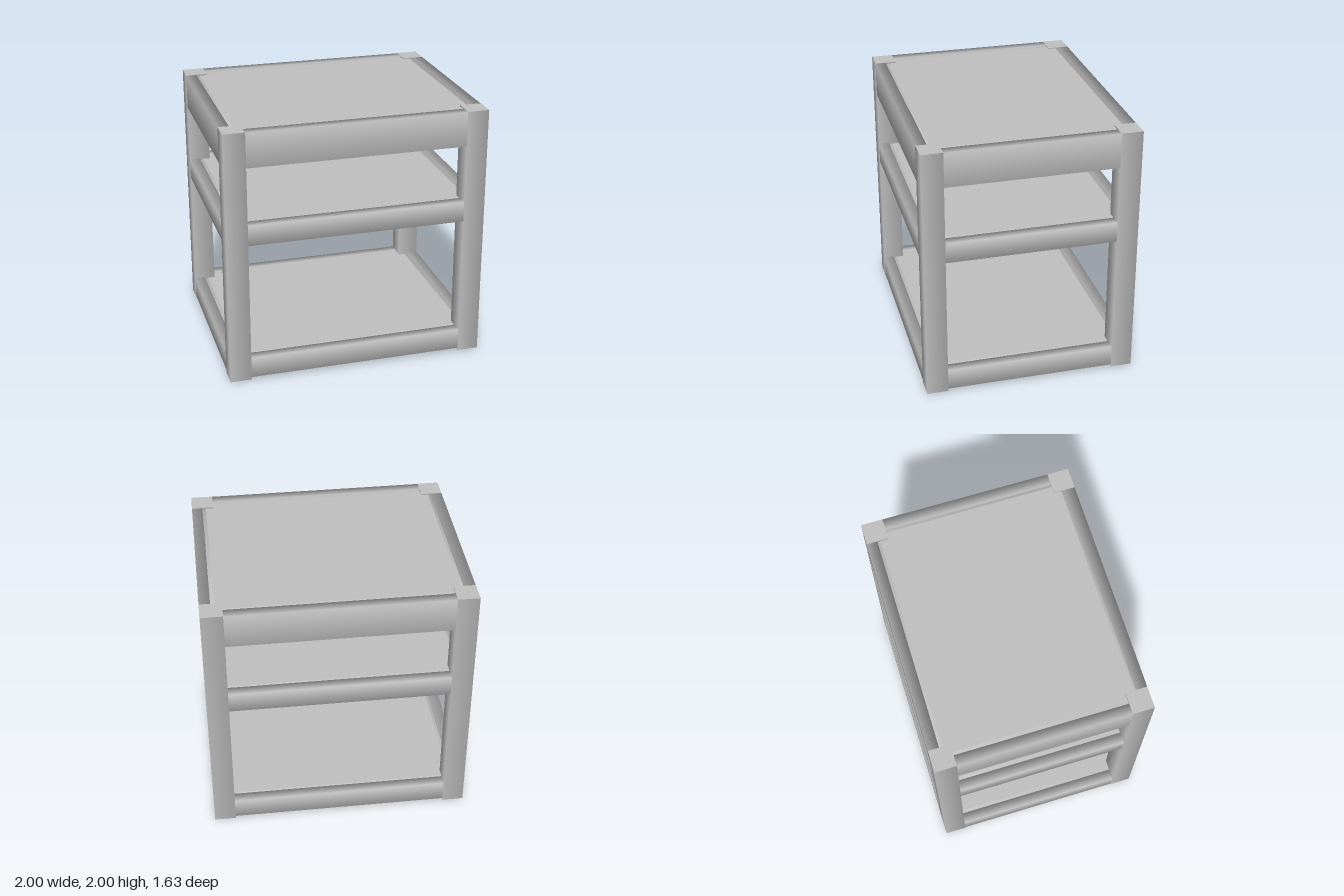
import * as THREE from 'three';

const grey = new THREE.MeshStandardMaterial({ color: 0xc0c0c0 });
grey.name = 'grey';

// Four-sided bar along y with softly shaded sides, w by h by d, optionally tapering at the top
function bar(w, h, d, taper = 1) {
  const g = new THREE.CylinderGeometry(Math.SQRT1_2 * taper, Math.SQRT1_2, 1, 4);
  g.rotateY(Math.PI / 4);
  g.scale(w, h, d);
  return g;
}

export function createModel() {
  const model = new THREE.Group();
  const add = (name, geometry, x, y, z) => {
    const mesh = new THREE.Mesh(geometry, grey);
    mesh.name = name;
    mesh.position.set(x, y, z);
    model.add(mesh);
  };

  const post = 0.165, halfX = 1, halfZ = 0.815, rail = 0.082;

  // Corner posts standing on small round feet
  for (const sx of [-1, 1]) {
    for (const sz of [-1, 1]) {
      const x = sx * (halfX - post / 2), z = sz * (halfZ - post / 2);
      add('post', bar(post, 1.99, post), x, 1.005, z);
      add('foot', new THREE.CylinderGeometry(0.055, 0.055, 0.02, 12), x, 0.01, z);
    }
  }

  // Three levels, each a frame of four rails around a panel
  const levels = [
    { name: 'bottom', low: 0.03, high: 0.195 },
    { name: 'middle', low: 1.125, high: 1.285 },
    { name: 'top', low: 1.73, high: 1.998 },
  ];
  for (const { name, low, high } of levels) {
    const h = high - low, y = (low + high) / 2;
    for (const s of [-1, 1]) {
      const along = bar(h, 2 * (halfX - post), rail).rotateZ(Math.PI / 2);
      add(name + 'LongRail', along, 0, y, s * (halfZ - rail / 2));
      const across = bar(rail, 2 * (halfZ - post), h).rotateX(Math.PI / 2);
      add(name + 'SideRail', across, s * (halfX - rail / 2), y, 0);
    }

    // Panel just below the rail tops, with a shallow sloped rim
    const w = 2 * (halfX - rail), d = 2 * (halfZ - rail);
    add(name + 'Panel', new THREE.BoxGeometry(w, 0.055, d), 0, high - 0.0525, 0);
    add(name + 'PanelRim', bar(w, 0.018, d, 0.97), 0, high - 0.016, 0);
  }
  return model;
}
